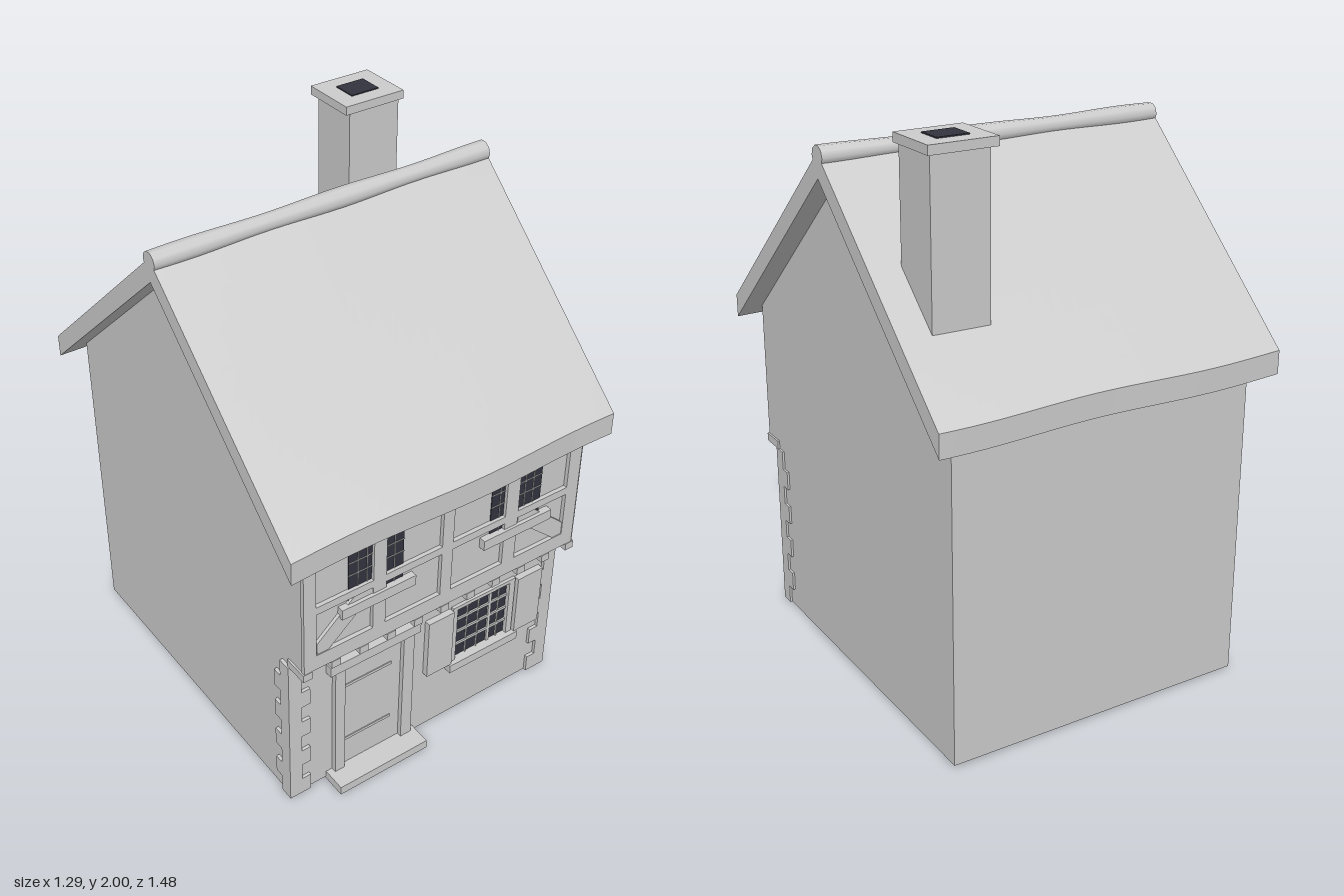
import * as THREE from 'three';

export function createModel() {
  const model = new THREE.Group();
  const plaster = new THREE.MeshStandardMaterial({ color: 0xcccccc, side: THREE.DoubleSide });
  plaster.name = 'paleGrey';
  const dark = new THREE.MeshStandardMaterial({ color: 0x33333f });
  dark.name = 'darkGlass';

  const add = (name, geometry, material = plaster, parent = model) => {
    const mesh = new THREE.Mesh(geometry, material);
    mesh.name = name;
    parent.add(mesh);
    return mesh;
  };
  // box given by its limits on each axis
  const box = (name, x0, x1, y0, y1, z0, z1, material, parent) => add(name,
    new THREE.BoxGeometry(x1 - x0, y1 - y0, z1 - z0)
      .translate((x0 + x1) / 2, (y0 + y1) / 2, (z0 + z1) / 2), material, parent);
  const group = (name) => {
    const g = new THREE.Group();
    g.name = name;
    model.add(g);
    return g;
  };
  const rectPath = (x0, x1, y0, y1) => new THREE.Path([[x0, y0], [x1, y0], [x1, y1], [x0, y1]]
    .map(([x, y]) => new THREE.Vector2(x, y)));

  // gabled side walls, stepping out over the jetty
  const side = new THREE.Shape([[-0.675, 0.01], [0.6, 0.01], [0.6, 0.65], [0.69, 0.65],
    [0.69, 1.18], [0, 1.81], [-0.675, 1.19]].map(([z, y]) => new THREE.Vector2(z, y)));
  for (const s of [-1, 1]) {
    const g = new THREE.ShapeGeometry(side);
    if (s > 0) {
      // reverse the winding so the face points outward
      const idx = g.index.array;
      for (let i = 0; i < idx.length; i += 3) [idx[i], idx[i + 1]] = [idx[i + 1], idx[i]];
      g.computeVertexNormals();
    }
    add('sideWall', g.rotateY(-Math.PI / 2).translate(s * 0.565, 0, 0));
  }
  add('backWall', new THREE.PlaneGeometry(1.13, 1.18).rotateY(Math.PI).translate(0, 0.6, -0.675));

  // ground floor front with door and window openings
  const front = new THREE.Shape([[-0.565, 0.01], [0.565, 0.01], [0.565, 0.67], [-0.565, 0.67]]
    .map(([x, y]) => new THREE.Vector2(x, y)));
  front.holes.push(rectPath(-0.355, -0.11, 0.035, 0.52), rectPath(0.13, 0.365, 0.275, 0.515));
  add('groundFloorFront', new THREE.ShapeGeometry(front).translate(0, 0, 0.6));
  add('upperFloorFront', new THREE.PlaneGeometry(1.13, 0.52).translate(0, 0.93, 0.675));
  add('jettyUnderside', new THREE.PlaneGeometry(1.13, 0.09).rotateX(Math.PI / 2).translate(0, 0.67, 0.645));

  // corner stones, alternately long and short
  const quoins = group('cornerStones');
  const rows = 9, h = 0.63 / rows;
  for (let i = 0; i < rows; i++) {
    const y = 0.01 + i * h, wx = i % 2 ? 0.05 : 0.085, wz = i % 2 ? 0.085 : 0.05;
    box('cornerStone', -0.577, -0.577 + wx, y, y + h, 0.612 - wz, 0.612, plaster, quoins);
    box('cornerStone', 0.573 - wx, 0.573, y, y + h, 0.612 - wz, 0.612, plaster, quoins);
  }

  // door
  const door = group('door');
  box('doorPanel', -0.355, -0.11, 0.035, 0.52, 0.585, 0.602, plaster, door);
  box('doorPost', -0.395, -0.355, 0.035, 0.52, 0.59, 0.62, plaster, door);
  box('doorPost', -0.11, -0.065, 0.035, 0.52, 0.59, 0.62, plaster, door);
  box('doorLintel', -0.42, -0.045, 0.52, 0.56, 0.59, 0.627, plaster, door);
  box('doorStep', -0.42, -0.045, 0, 0.035, 0.59, 0.69, plaster, door);
  for (const y of [0.15, 0.41]) box('strapHinge', -0.35, -0.15, y, y + 0.012, 0.602, 0.605, plaster, door);

  // ground floor window
  const win = group('groundWindow');
  box('windowGlass', 0.13, 0.365, 0.275, 0.515, 0.59, 0.596, dark, win);
  for (let i = 1; i < 4; i++) {
    const y = 0.275 + i * 0.06;
    box('glazingBar', 0.13, 0.365, y - 0.005, y + 0.005, 0.596, 0.602, plaster, win);
  }
  for (const [x, w] of [[0.185, 0.002], [0.235, 0.002], [0.287, 0.006], [0.327, 0.002]])
    box('glazingBar', x - w, x + w, 0.275, 0.515, 0.596, 0.602, plaster, win);
  box('windowJamb', 0.11, 0.13, 0.275, 0.525, 0.59, 0.612, plaster, win);
  box('windowJamb', 0.365, 0.39, 0.275, 0.525, 0.59, 0.612, plaster, win);
  box('windowHead', 0.11, 0.39, 0.515, 0.53, 0.59, 0.612, plaster, win);
  box('windowSill', 0.095, 0.405, 0.24, 0.275, 0.59, 0.63, plaster, win);
  box('shutter', -0.005, 0.105, 0.275, 0.525, 0.6, 0.623, plaster, win);
  box('shutter', 0.395, 0.507, 0.275, 0.525, 0.6, 0.623, plaster, win);

  // joist ends under the jetty
  for (let i = 0; i < 11; i++) {
    const x = -0.555 + i * 0.111;
    box('joistEnd', x - 0.017, x + 0.017, 0.64, 0.67, 0.6, 0.692);
  }

  // timber frame of the upper floor
  const frame = group('timberFrame');
  for (const [x0, x1] of [[-0.567, -0.52], [-0.3, -0.25], [-0.025, 0.02], [0.24, 0.295], [0.51, 0.562]])
    box('post', x0, x1, 0.67, 1.17, 0.674, 0.69, plaster, frame);
  for (const [y0, y1] of [[0.67, 0.73], [0.905, 0.935], [1.13, 1.175]])
    box('rail', -0.567, 0.562, y0, y1, 0.674, 0.69, plaster, frame);
  for (const s of [-1, 1]) {
    const brace = new THREE.Shape([[0.515, 0.73], [0.515, 0.775], [0.37, 0.905], [0.3, 0.905], [0.3, 0.88], [0.47, 0.73]]
      .map(([x, y]) => new THREE.Vector2(s * x, y)));
    add('brace', new THREE.ExtrudeGeometry(brace, { depth: 0.012, bevelEnabled: false })
      .translate(0, 0, 0.675), plaster, frame);
  }

  // upper windows set behind the timbers
  for (const [x0, x1] of [[-0.39, -0.175], [0.185, 0.4]]) {
    const w = group('upperWindow');
    box('windowGlass', x0, x1, 0.88, 1.095, 0.674, 0.678, dark, w);
    for (let i = 1; i < 6; i++) {
      const x = x0 + (x1 - x0) * i / 6;
      box('glazingBar', x - 0.0015, x + 0.0015, 0.88, 1.095, 0.678, 0.681, plaster, w);
    }
    for (const y of [0.99, 1.04]) box('glazingBar', x0, x1, y - 0.0015, y + 0.0015, 0.678, 0.681, plaster, w);
    box('windowSill', x0 - 0.038, x1 + 0.038, 0.84, 0.88, 0.675, 0.7, plaster, w);
  }

  // roof slopes with slightly uneven surface and eaves
  for (const s of [1, -1]) {
    const g = new THREE.BoxGeometry(1.286, 1, 1, 24, 1, 10);
    const p = g.attributes.position;
    for (let i = 0; i < p.count; i++) {
      const x = p.getX(i), u = p.getZ(i) + 0.5, top = p.getY(i) > 0;
      const z = 0.738 * u + 0.004 * u * Math.sin(7 * x + s);
      const sag = 0.01 * Math.sin(Math.PI * u) * Math.cos(x * 2.4);
      p.setXYZ(i, x, 1.8 - 0.907 * z + (top ? 0.083 - sag : 0), z);
    }
    g.computeVertexNormals();
    const slope = add(s > 0 ? 'frontRoof' : 'backRoof', g);
    if (s < 0) slope.rotation.y = Math.PI;
  }

  // ridge roll, gently wavering
  const ridge = new THREE.CylinderGeometry(0.034, 0.034, 1.286, 10, 24).rotateZ(Math.PI / 2);
  const rp = ridge.attributes.position;
  for (let i = 0; i < rp.count; i++) {
    const k = 1 + 0.08 * Math.sin(rp.getX(i) * 11 + 1);
    rp.setY(i, rp.getY(i) * k + 1.871);
    rp.setZ(i, rp.getZ(i) * k);
  }
  add('ridge', ridge);

  // chimney
  box('chimneyStack', 0.325, 0.53, 1.3, 1.966, -0.51, -0.325);
  box('chimneyCap', 0.305, 0.545, 1.965, 1.996, -0.527, -0.317);
  box('chimneyFlue', 0.37, 0.482, 1.992, 2, -0.467, -0.376, dark);

  return model;
}
